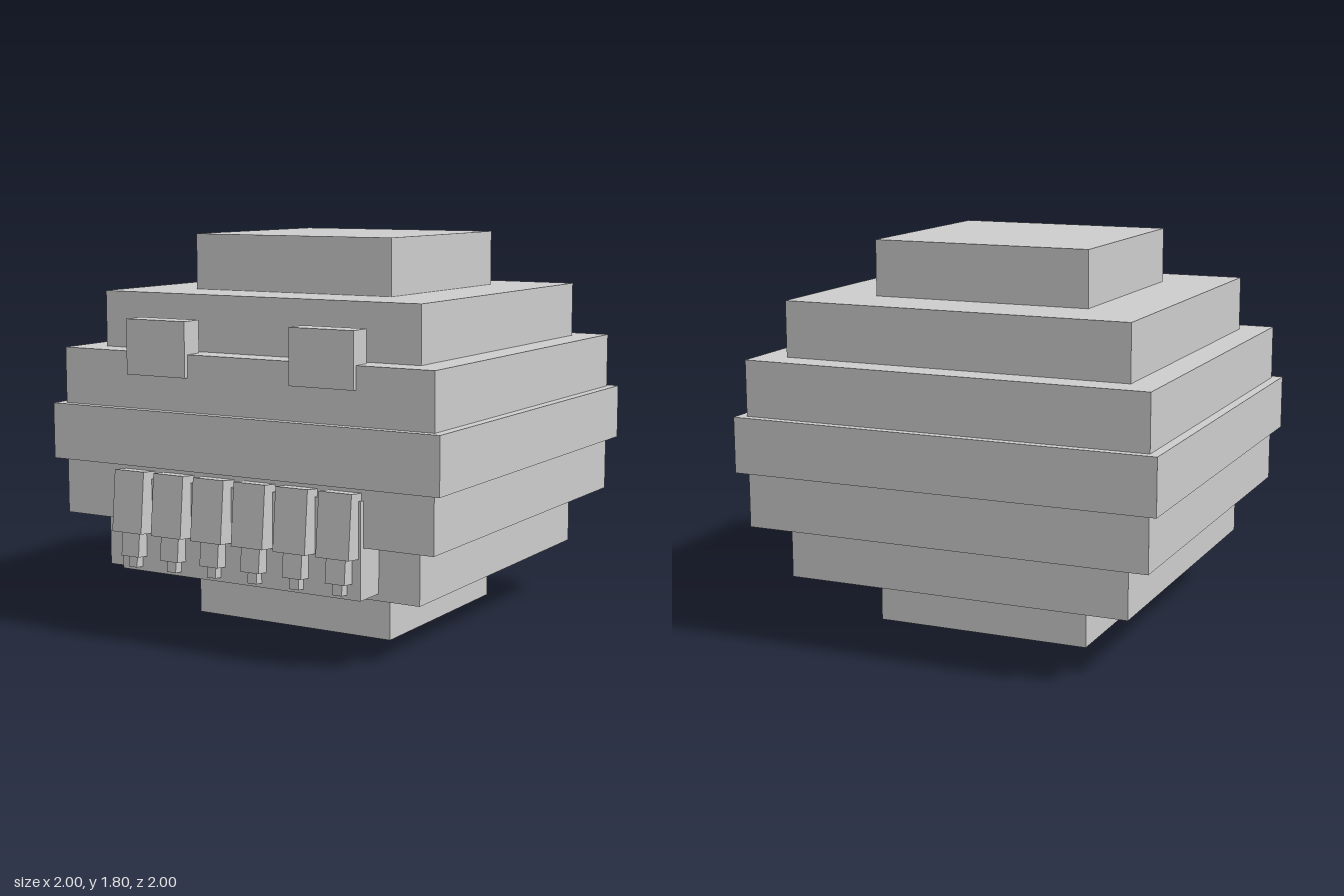
import * as THREE from 'three';

export function createModel() {
  const model = new THREE.Group();
  model.name = 'steppedHead';
  const grey = new THREE.MeshStandardMaterial({ name: 'light grey', color: 0xcccccc });

  const box = (parent, name, w, h, d, x, y, z) => {
    const mesh = new THREE.Mesh(new THREE.BoxGeometry(w, h, d), grey);
    mesh.name = name;
    mesh.position.set(x, y, z);
    parent.add(mesh);
    return mesh;
  };

  // Head: seven stacked slabs, widest in the middle
  const halfWidths = [0.516, 0.82, 0.955, 1.0];
  const halfDepths = [0.498, 0.791, 0.925, 0.965];
  const slab = 1.796 / 7;
  for (let i = 0; i < 7; i++) {
    const k = 3 - Math.abs(i - 3);
    box(model, `headSlab${i + 1}`, halfWidths[k] * 2, slab, halfDepths[k] * 2, 0, slab * (i + 0.5), -0.035);
  }

  // Eyes
  for (const [side, x] of [['left', 0.427], ['right', -0.43]]) {
    box(model, `${side}Eye`, 0.317, 0.25, 0.11, x, 1.305, 0.857);
  }

  // Mouth plate behind the teeth
  box(model, 'mouthPlate', 1.246, 0.427, 0.2, -0.002, 0.502, 0.814);

  // Row of stepped square teeth, tips leaning forward
  const steps = [[0.16, 0, 0.28], [0.095, 0.28, 0.39], [0.046, 0.39, 0.44]];
  for (let i = 0; i < 6; i++) {
    const tooth = new THREE.Group();
    tooth.name = `tooth${i + 1}`;
    tooth.position.set(-0.539 + i * 0.2142, 0.755, 0.973);
    tooth.rotation.x = -0.095;
    steps.forEach(([w, top, bottom], j) => {
      box(tooth, `toothStep${j + 1}`, w, bottom - top, w, 0, -(top + bottom) / 2, -0.08);
    });
    model.add(tooth);
  }

  return model;
}
